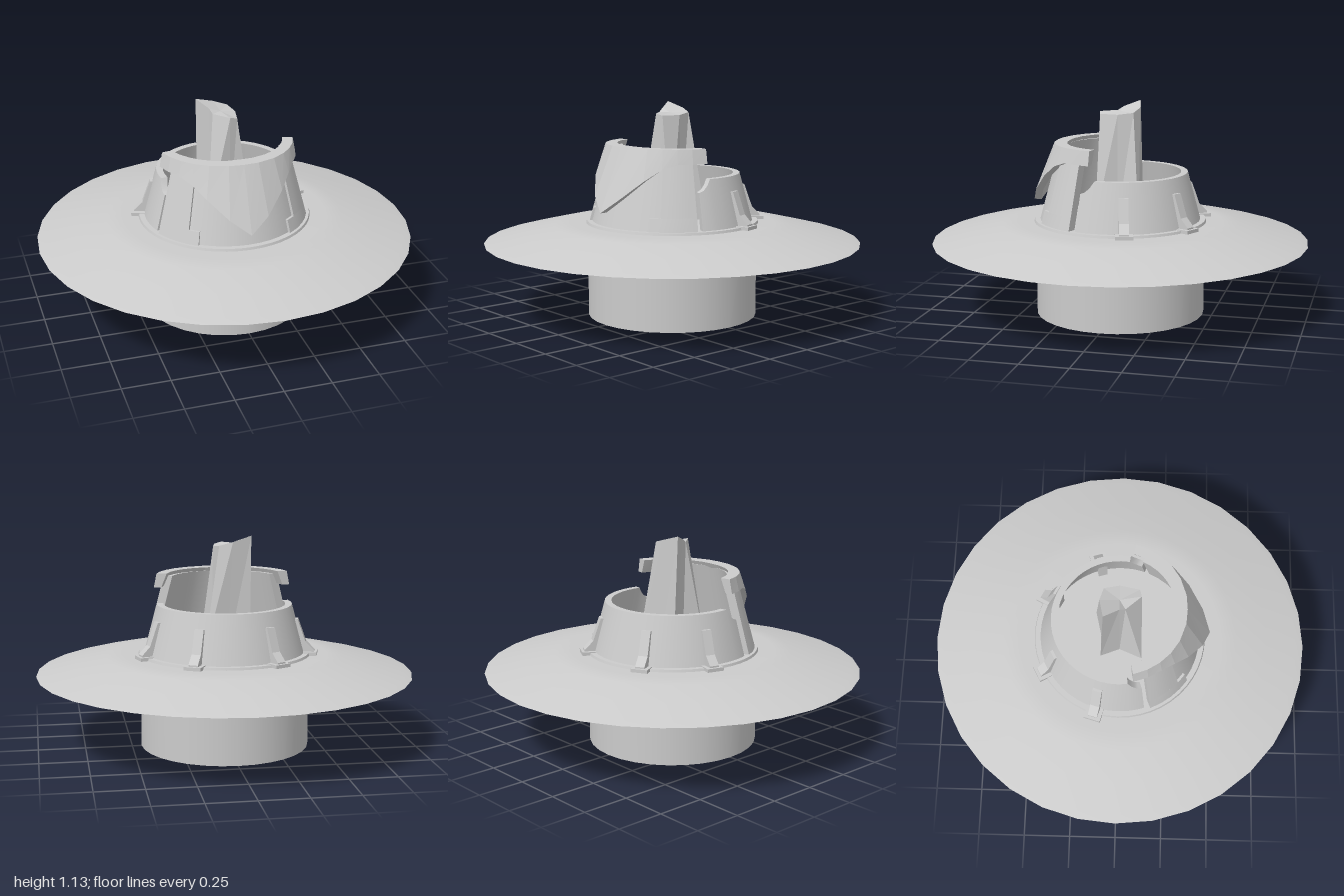
import * as THREE from 'three';
import { toCreasedNormals } from 'three/addons/utils/BufferGeometryUtils.js';

const material = new THREE.MeshStandardMaterial({ color: 0xcccccc });
const rad = THREE.MathUtils.degToRad;

function mesh(name, geometry, parent) {
  const m = new THREE.Mesh(geometry, material);
  m.name = name;
  parent.add(m);
  return m;
}

function fromTriangles(points) {
  const g = new THREE.BufferGeometry().setFromPoints(points);
  g.computeVertexNormals();
  return g;
}

// Sweeps a four-cornered section [r, y] around the axis; angles in degrees from the front.
// Corners run outer bottom, outer top, inner top, inner bottom.
function arcShell(angles, section, crease = 0.5) {
  const rings = angles.map(a => section(a).map(([r, y]) =>
    new THREE.Vector3(r * Math.sin(rad(a)), y, r * Math.cos(rad(a)))));
  const tris = [];
  const quad = (a, b, c, d) => tris.push(a, b, c, a, c, d);
  for (let i = 0; i < rings.length - 1; i++) {
    const p = rings[i], q = rings[i + 1];
    for (let j = 0; j < 4; j++) {
      const k = (j + 1) % 4;
      quad(p[j], q[j], q[k], p[k]);
    }
  }
  quad(...rings[0]);
  quad(...rings[rings.length - 1].slice().reverse());
  return toCreasedNormals(fromTriangles(tris), crease);
}

function range(from, to, steps) {
  return Array.from({ length: steps + 1 }, (_, i) => from + (to - from) * i / steps);
}

// Piecewise linear lookup in a list of [position, value] pairs
function lookup(table, x) {
  for (let i = 1; i < table.length; i++) {
    const [x0, y0] = table[i - 1], [x1, y1] = table[i];
    if (x <= x1) return y0 + (y1 - y0) * (x - x0) / (x1 - x0);
  }
  return table[table.length - 1][1];
}

const wallRadius = y => 0.43 - (y - 0.5) * 0.27;
const wallSection = (top, out = 0, thick = 0.035, bottom = 0.5) => [
  [wallRadius(bottom) + out, bottom], [wallRadius(top) + out, top],
  [wallRadius(top) + out - thick, top], [wallRadius(bottom) + out - thick, bottom]];

function lathe(points) {
  return new THREE.LatheGeometry(points.map(p => new THREE.Vector2(...p)), 32);
}

// Faceted crystal: a star-shaped foot joined to an uneven crown
function crystalGeometry() {
  const foot = [[-0.13, 0.12], [0, 0.1], [0.12, 0.11], [0.07, 0],
    [0.13, -0.13], [0, -0.1], [-0.12, -0.1], [-0.08, 0]]
    .map(([x, z]) => new THREE.Vector3(x, 0.5, z));
  const crown = [[-0.07, 1.08, 0.03], [0, 1.08, 0.11], [0.04, 1.07, 0.1], [0.06, 1.07, 0],
    [0.04, 1.08, -0.08], [-0.03, 1.1, -0.1], [-0.13, 1.13, -0.08], [-0.08, 1.1, 0]]
    .map(p => new THREE.Vector3(...p));
  const centre = new THREE.Vector3(-0.02, 1.08, 0);
  const tris = [];
  for (let i = 0; i < 8; i++) {
    const k = (i + 1) % 8;
    tris.push(foot[i], foot[k], crown[k], foot[i], crown[k], crown[i], centre, crown[i], crown[k]);
  }
  return fromTriangles(tris);
}

export function createModel() {
  const model = new THREE.Group();

  // Round base drum
  mesh('base', new THREE.CylinderGeometry(0.45, 0.45, 0.38, 32), model).position.y = 0.19;

  // Wide brim, top and underside
  const brim = new THREE.Group();
  brim.name = 'brim';
  model.add(brim);
  mesh('brimUnderside', lathe([[0.4, 0.375], [0.6, 0.38], [0.8, 0.389], [1, 0.398]]), brim);
  mesh('brimTop', lathe([[1, 0.398], [0.96, 0.41], [0.8, 0.449], [0.63, 0.489], [0.54, 0.499], [0, 0.5]]), brim);

  // Collar: flange, low rear wall with scooped ends, tall front wall
  const collar = new THREE.Group();
  collar.name = 'collar';
  model.add(collar);
  mesh('flange', new THREE.CylinderGeometry(0.455, 0.46, 0.016, 48), collar).position.y = 0.504;
  const scoop = [[71, 0.7], [75, 0.71], [79, 0.735], [82, 0.765], [180, 0.765]];
  const rearAngles = [71, 73, 75, 77, 79, 82, ...range(90, 270, 24), 278, 281, 283, 285, 287, 289];
  mesh('rearWall', arcShell(rearAngles, a => wallSection(lookup(scoop, Math.min(a, 360 - a)))), collar);
  mesh('frontWall', arcShell(range(-67, 67, 16), () => wallSection(0.9)), collar);

  // Raised L-shaped side panels on the front wall
  for (const s of [-1, 1]) {
    const arc = (a, b) => s > 0 ? range(a, b, 4) : range(-b, -a, 4);
    mesh('sidePanel', arcShell(arc(42, 67), () => wallSection(0.86, 0.013, 0.03, 0.58)), collar);
    mesh('sidePanelFoot', arcShell(arc(34, 67), () => wallSection(0.58, 0.013, 0.03)), collar);
  }

  // Pointed visor flaring down and forward from the top of the front wall
  const lowerEdge = [[0, 0.59], [13, 0.665], [29, 0.76], [42, 0.82], [54, 0.845], [78, 0.845]];
  const half = [13, 29, 42, 54, 66, 78];
  const visorAngles = [...half.map(a => -a).reverse(), 0, ...half];
  mesh('visor', arcShell(visorAngles, a => {
    const y = lookup(lowerEdge, Math.abs(a));
    const r = 0.345 + (0.92 - y) * 0.41;
    return [[r, y], [0.345 + Math.abs(a) * 0.0002, 0.92], [0.275 + Math.abs(a) * 0.0004, 0.92], [r - 0.04, y]];
  }, 0.15), model);

  // Buttress fins with foot pads around the rear wall
  const profile = new THREE.Shape([[0.36, 0.5], [0.48, 0.5], [0.48, 0.525], [0.435, 0.57], [0.392, 0.69], [0.36, 0.69]]
    .map(p => new THREE.Vector2(...p)));
  const finGeometry = new THREE.ExtrudeGeometry(profile, { depth: 0.05, bevelEnabled: false });
  finGeometry.translate(0, 0, -0.025);
  const padGeometry = new THREE.BoxGeometry(0.09, 0.02, 0.09);
  for (const a of [106, 152, 208, 254]) {
    const buttress = new THREE.Group();
    buttress.name = 'buttress';
    buttress.rotation.y = rad(a - 90);
    mesh('fin', finGeometry, buttress);
    mesh('footPad', padGeometry, buttress).position.set(0.45, 0.507, 0);
    model.add(buttress);
  }

  // Crystal standing inside the collar
  mesh('crystal', crystalGeometry(), model);

  return model;
}
